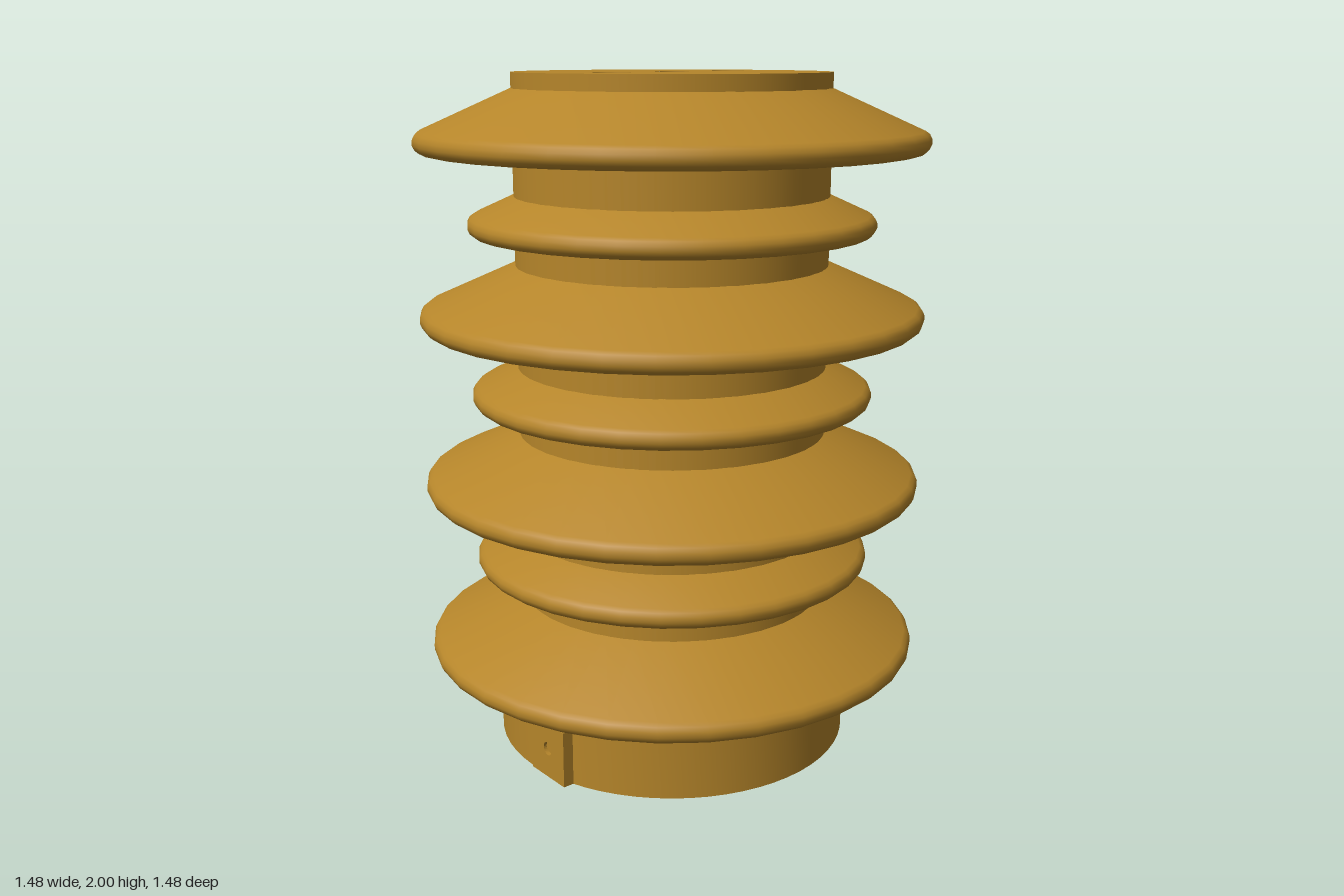
import * as THREE from 'three';
import { toCreasedNormals } from 'three/addons/utils/BufferGeometryUtils.js';

const CORE = 0.46, BASE = 0.537, PITCH = 0.503, FIRST = 0.267;

export function createModel() {
  const group = new THREE.Group();
  const material = new THREE.MeshStandardMaterial({ color: 0xb5852a });

  const add = (name, geometry, x = 0, y = 0, z = 0) => {
    const mesh = new THREE.Mesh(geometry, material);
    mesh.name = name;
    mesh.position.set(x, y, z);
    group.add(mesh);
    return mesh;
  };
  const lathe = (points, sides) => toCreasedNormals(
    new THREE.LatheGeometry(points.map(([r, y]) => new THREE.Vector2(r, y)), sides), 0.7);

  // flat disc pierced by round holes given as [x, radius]
  const disc = (radius, holes) => {
    const shape = new THREE.Shape().absarc(0, 0, radius, 0, Math.PI * 2);
    for (const [x, r] of holes) shape.holes.push(new THREE.Path().absarc(x, 0, r, 0, Math.PI * 2, true));
    return new THREE.ShapeGeometry(shape, 32);
  };

  // central column and wider foot
  add('core', lathe([[CORE, FIRST], [CORE, 2]], 64));
  add('base', lathe([[BASE, 0], [BASE, FIRST]], 64));

  // sheds: flat underside, rounded rim, sloping top
  const shed = (reach, height, rim) => {
    const points = [[CORE - 0.01, 0]];
    for (let i = 0; i <= 6; i++) {
      const a = -Math.PI / 2 + (i / 6) * (Math.PI * 0.87);
      points.push([reach - rim + rim * Math.cos(a), rim + rim * Math.sin(a)]);
    }
    points.push([CORE, height]);
    return lathe(points, 34);
  };
  const largeShed = shed(0.742, 0.18, 0.033);
  const smallShed = shed(0.597, 0.113, 0.031);
  for (let i = 0; i < 4; i++) {
    add('largeShed', largeShed, 0, FIRST + i * PITCH);
    if (i < 3) add('smallShed', smallShed, 0, FIRST + 0.267 + i * PITCH);
  }

  // top face with three blind, cone-ended holes
  const topHoles = [[-0.215, 0.053], [0, 0.066], [0.215, 0.053]];
  add('topFace', disc(CORE, topHoles).rotateX(-Math.PI / 2), 0, 2);
  for (const [x, r] of topHoles) {
    add('topHole', lathe([[r, 0], [r, -0.25], [0, -0.25 - r * 0.6]], 32), x, 2);
  }

  // underside with a single blind hole
  const bore = 0.105;
  add('bottomFace', disc(BASE, [[0, bore]]).rotateX(Math.PI / 2));
  add('bottomHole', lathe([[0, 0.36], [bore, 0.3], [bore, 0]], 32));

  // small drilled pad on the side of the foot
  const pad = new THREE.Shape([[-0.08, 0], [0.08, 0], [0.08, 0.17], [-0.08, 0.17]]
    .map(([x, y]) => new THREE.Vector2(x, y)));
  pad.holes.push(new THREE.Path().absarc(0, 0.09, 0.02, 0, Math.PI * 2, true));
  const padGeometry = new THREE.ExtrudeGeometry(pad, { depth: 0.05, bevelEnabled: false, curveSegments: 12 });
  add('terminalPad', padGeometry.rotateY(-Math.PI / 2), -0.492, 0, 0.09);

  return group;
}
